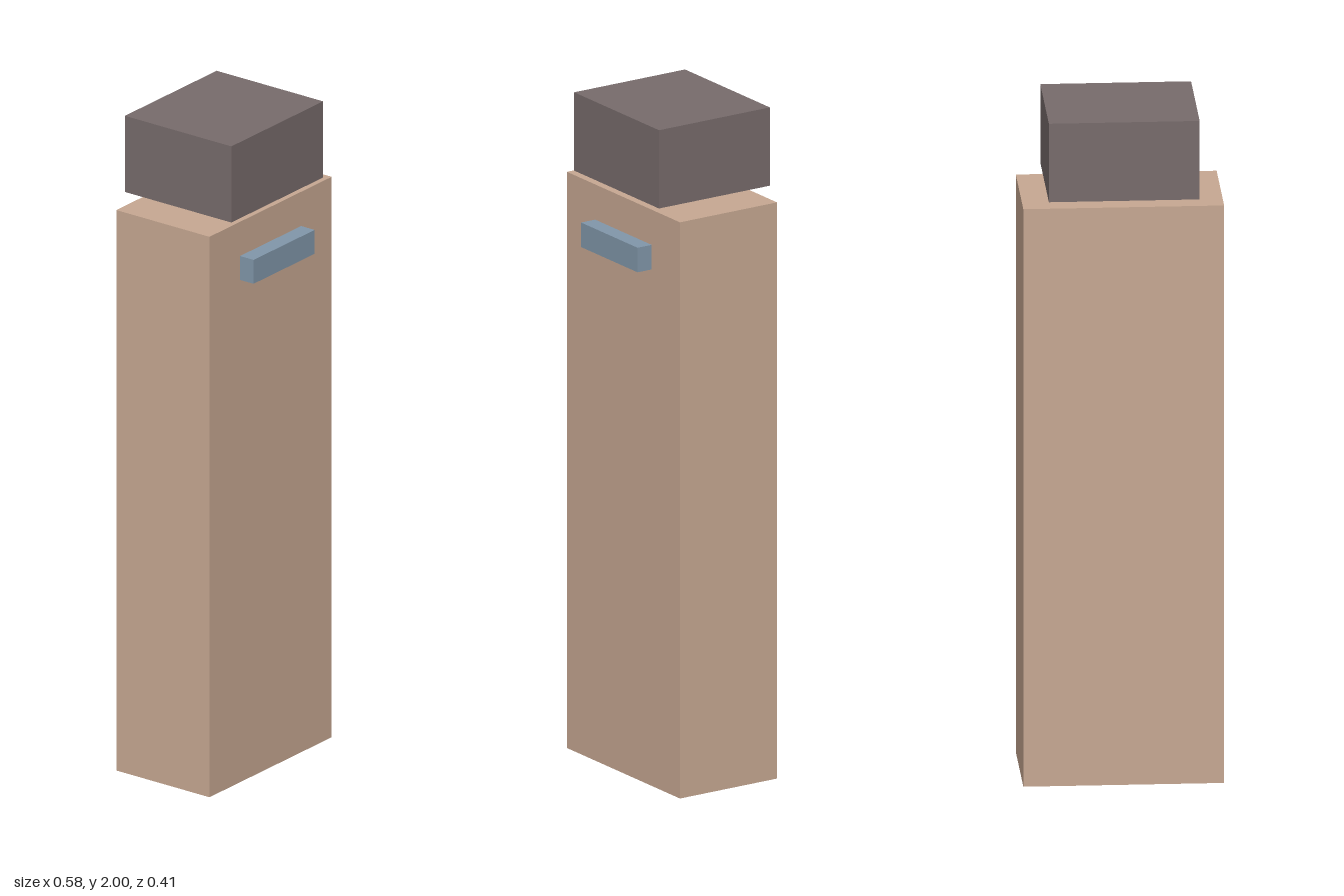
import * as THREE from 'three';

// Box given by its width and its y and z extents, centred on x = 0
function block(name, color, width, [y0, y1], [z0, z1]) {
  const mesh = new THREE.Mesh(
    new THREE.BoxGeometry(width, y1 - y0, z1 - z0),
    new THREE.MeshStandardMaterial({ color })
  );
  mesh.name = name;
  mesh.position.set(0, (y0 + y1) / 2, (z0 + z1) / 2);
  return mesh;
}

export function createModel() {
  const model = new THREE.Group();
  model.name = 'blockFigure';
  model.add(
    // Tall body
    block('body', 0xc8a993, 0.578, [0, 1.737], [-0.181, 0.156]),
    // Head floating just above the body
    block('head', 0x786c6c, 0.434, [1.764, 2], [-0.205, 0.18]),
    // Small bar on the upper front
    block('frontBar', 0x8298ab, 0.289, [1.557, 1.631], [0.156, 0.205])
  );
  return model;
}
